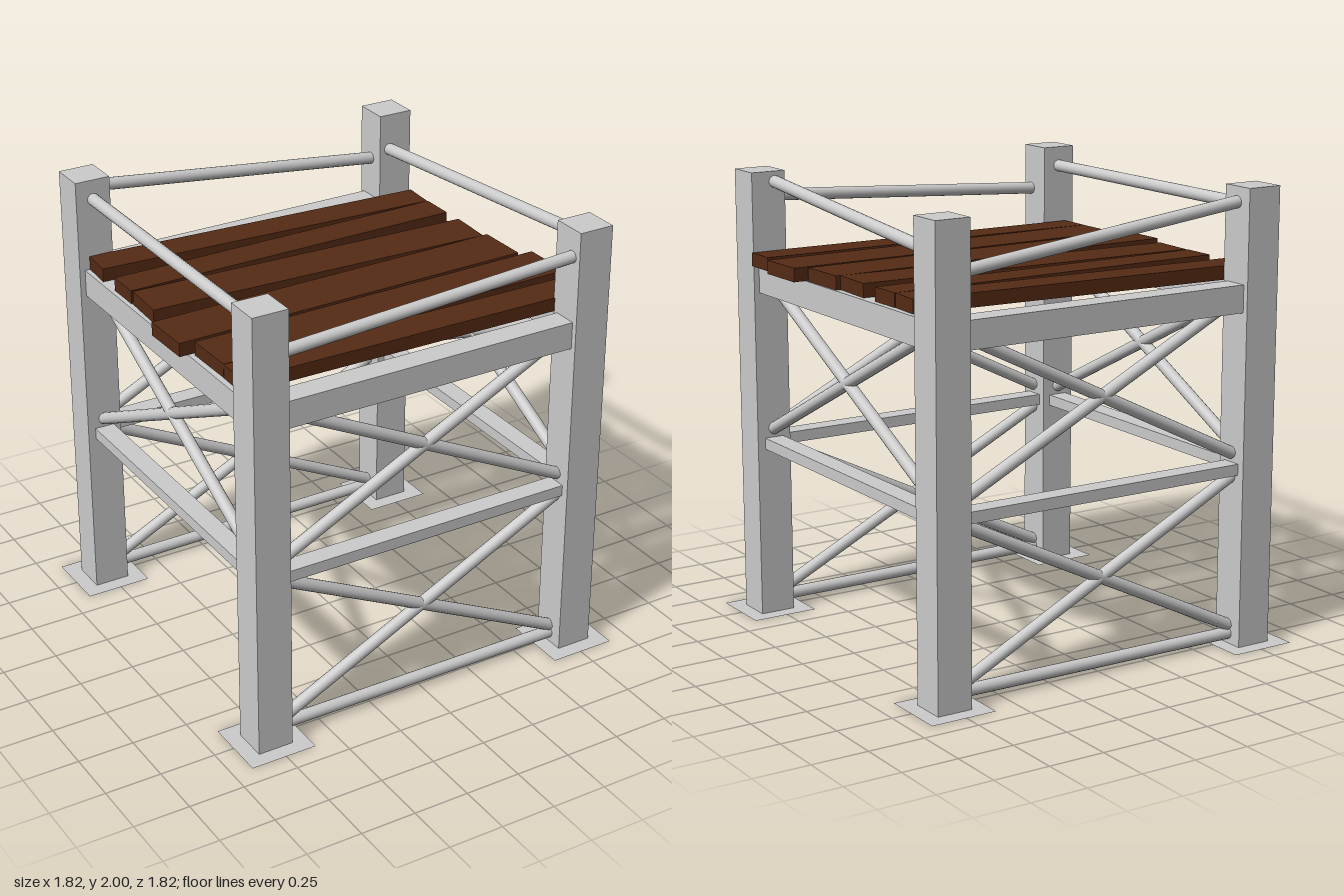
import * as THREE from 'three';

const POST = 0.76; // distance of post centres from the axes
const INNER = 0.68; // inner faces of the posts

export function createModel() {
  const model = new THREE.Group();
  const metal = new THREE.MeshStandardMaterial({ color: 0xcccccc });
  const sheet = new THREE.MeshStandardMaterial({ color: 0xcccccc, flatShading: true, side: THREE.DoubleSide });
  const wood = new THREE.MeshStandardMaterial({ color: 0x552b15 });

  const add = (parent, name, geometry, material) => {
    const mesh = new THREE.Mesh(geometry, material);
    mesh.name = name;
    parent.add(mesh);
    return mesh;
  };

  // Round tube between two points
  const tube = (parent, name, a, b, radius = 0.027) => {
    const from = new THREE.Vector3(...a);
    const dir = new THREE.Vector3(...b).sub(from);
    const mesh = add(parent, name, new THREE.CylinderGeometry(radius, radius, dir.length(), 16), metal);
    mesh.position.copy(from).addScaledVector(dir, 0.5);
    mesh.quaternion.setFromUnitVectors(new THREE.Vector3(0, 1, 0), dir.normalize());
  };

  // Hollow square posts, closed on top, with a thin flange at the foot
  const profile = [[0.15, 0.002], [0.08, 0.002], [0.08, 2], [0, 2]]
    .map(([half, y]) => new THREE.Vector2(half * Math.SQRT2, y));
  const postGeometry = new THREE.LatheGeometry(profile, 4, Math.PI / 4);
  for (const x of [-POST, POST]) {
    for (const z of [-POST, POST]) {
      add(model, 'post', postGeometry, sheet).position.set(x, 0, z);
    }
  }

  // Each side is built along its own x axis, facing +z.
  // rail: heights at the left and right end, and distance from the centre
  const sides = [
    { name: 'frontSide', turn: 0, rail: [1.8, 1.88, 0.79], lower: true },
    { name: 'rightSide', turn: Math.PI / 2, rail: [1.955, 1.835, 0.73], lower: false },
    { name: 'backSide', turn: Math.PI, rail: [1.775, 1.935, 0.76], lower: true },
    { name: 'leftSide', turn: -Math.PI / 2, rail: [1.912, 1.912, 0.76], lower: false },
  ];
  for (const { name, turn, rail, lower } of sides) {
    const side = new THREE.Group();
    side.name = name;
    side.rotation.y = turn;
    model.add(side);

    // Deck beam and middle bar
    add(side, 'deckBeam', new THREE.BoxGeometry(2 * INNER, 0.12, 0.11), metal).position.set(0, 1.532, POST);
    add(side, 'middleBar', new THREE.BoxGeometry(2 * INNER, 0.05, 0.09), metal).position.set(0, 0.79, POST);

    // Slanted hand rail
    tube(side, 'handRail', [-INNER, rail[0], rail[2]], [INNER, rail[1], rail[2]]);

    // Crossed braces
    const cross = (y0, y1) => {
      for (const s of [-1, 1]) {
        tube(side, 'crossBrace', [-s * INNER, y0, POST], [s * INNER, y1, POST]);
      }
    };
    cross(0.855, 1.53);
    if (lower) {
      cross(0.085, 0.755);
      tube(side, 'bottomBar', [-INNER, 0.054, POST], [INNER, 0.048, POST]);
    }
  }

  // Uneven deck planks: x start, x end, z at the start, z at the end, width
  const planks = [
    [-0.795, 0.79, -0.61, -0.52, 0.15],
    [-0.795, 0.79, -0.355, -0.368, 0.152],
    [-0.795, 0.79, -0.168, -0.1, 0.205],
    [-0.855, 0.81, 0.146, 0.118, 0.232],
    [-0.79, 0.872, 0.395, 0.368, 0.232],
    [-0.79, 0.845, 0.59, 0.613, 0.152],
  ];
  const deck = new THREE.Group();
  deck.name = 'deck';
  model.add(deck);
  for (const [x0, x1, z0, z1, width] of planks) {
    const length = Math.hypot(x1 - x0, z1 - z0);
    const plank = add(deck, 'plank', new THREE.BoxGeometry(length, 0.06, width), wood);
    plank.position.set((x0 + x1) / 2, 1.622, (z0 + z1) / 2);
    plank.rotation.y = -Math.atan2(z1 - z0, x1 - x0);
  }

  return model;
}
